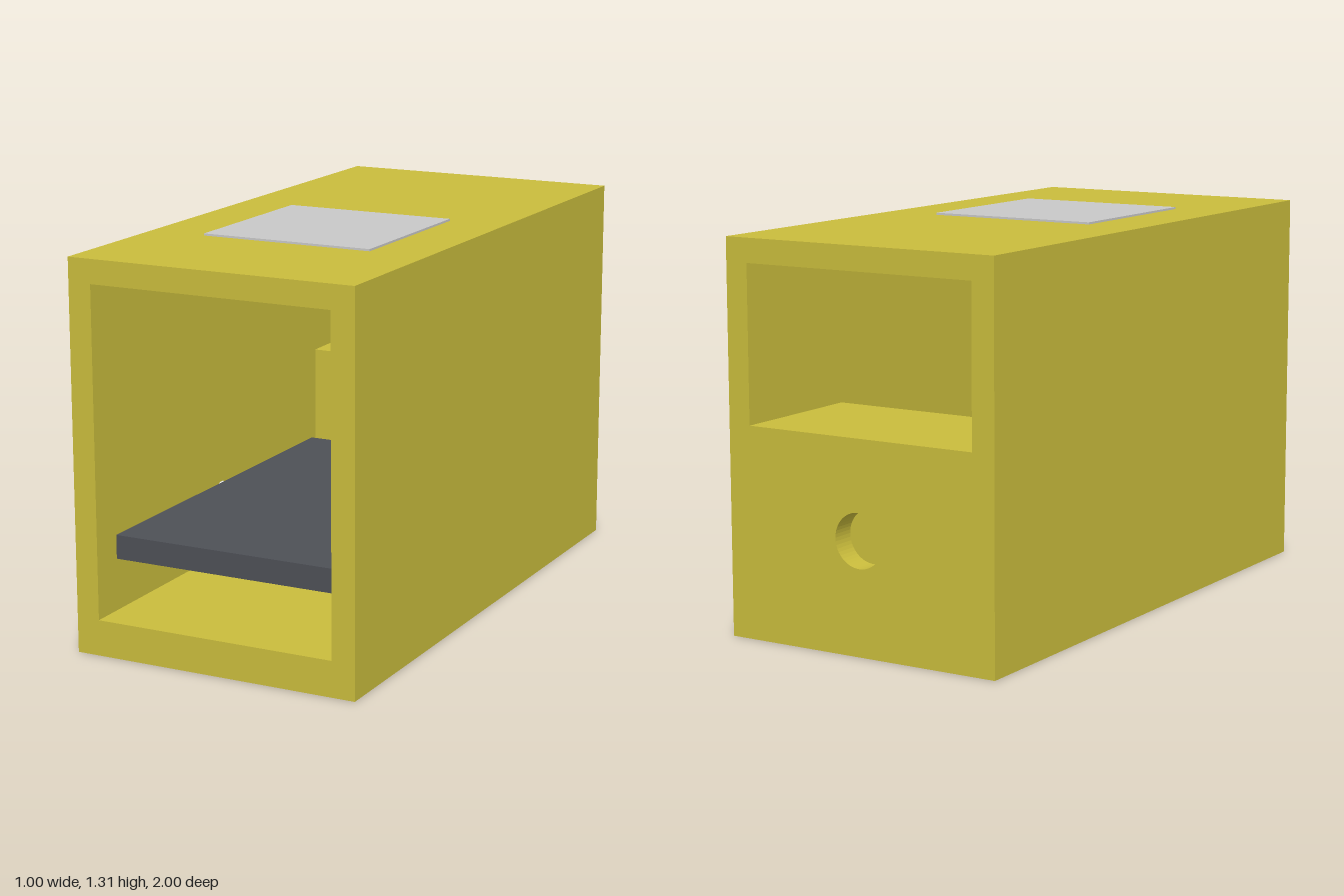
import * as THREE from 'three';

export function createModel() {
  const model = new THREE.Group();
  const yellow = new THREE.MeshStandardMaterial({ name: 'yellow shell', color: 0xc9bc3c });
  const dark = new THREE.MeshStandardMaterial({ name: 'dark grey platform', color: 0x4d5056 });
  const grey = new THREE.MeshStandardMaterial({ name: 'light grey plate', color: 0xc8c8c8 });
  const pale = new THREE.MeshStandardMaterial({ name: 'pale metal', color: 0xe4e4e4 });

  const add = (name, geometry, material) => {
    const mesh = new THREE.Mesh(geometry, material);
    mesh.name = name;
    model.add(mesh);
    return mesh;
  };

  // Box given by its lower and upper corners
  const box = (name, material, [x0, y0, z0], [x1, y1, z1]) => {
    const g = new THREE.BoxGeometry(x1 - x0, y1 - y0, z1 - z0);
    g.translate((x0 + x1) / 2, (y0 + y1) / 2, (z0 + z1) / 2);
    return add(name, g, material);
  };

  const rect = (path, x, y0, y1) => {
    path.moveTo(-x, y0);
    path.lineTo(x, y0);
    path.lineTo(x, y1);
    path.lineTo(-x, y1);
    path.closePath();
    return path;
  };

  const extrude = (shape, z0, z1) => {
    const g = new THREE.ExtrudeGeometry(shape, { depth: z1 - z0, bevelEnabled: false, curveSegments: 24 });
    return g.translate(0, 0, z0);
  };

  // Tunnel housing, open along its whole length
  const housing = rect(new THREE.Shape(), 0.5, 0, 1.3);
  housing.holes.push(rect(new THREE.Path(), 0.42, 0.12, 1.22));
  add('housing', extrude(housing, -1, 1), yellow);

  // Low back wall with a round hole; the gap above it is the rear window
  const back = rect(new THREE.Shape(), 0.42, 0.12, 0.7);
  const hole = new THREE.Path();
  hole.absarc(0, 0.375, 0.09, 0, Math.PI * 2, true);
  back.holes.push(hole);
  add('backWall', extrude(back, -1, -0.92), yellow);

  // Closed rear compartment
  box('compartmentLid', yellow, [-0.42, 0.66, -0.92], [0.42, 0.7, -0.5]);
  box('compartmentDivider', yellow, [-0.42, 0.12, -0.54], [0.42, 0.66, -0.5]);

  // Platform and its cross pivot
  box('platform', dark, [-0.41, 0.3, -0.45], [0.41, 0.38, 0.9]);
  const pivot = new THREE.CylinderGeometry(0.039, 0.039, 0.84, 24);
  pivot.rotateZ(Math.PI / 2).translate(0, 0.34, 0.2);
  add('pivotRod', pivot, pale);

  // Thin plate on the roof
  box('roofPlate', grey, [-0.3, 1.3, -0.1], [0.3, 1.307, 0.5]);

  return model;
}
